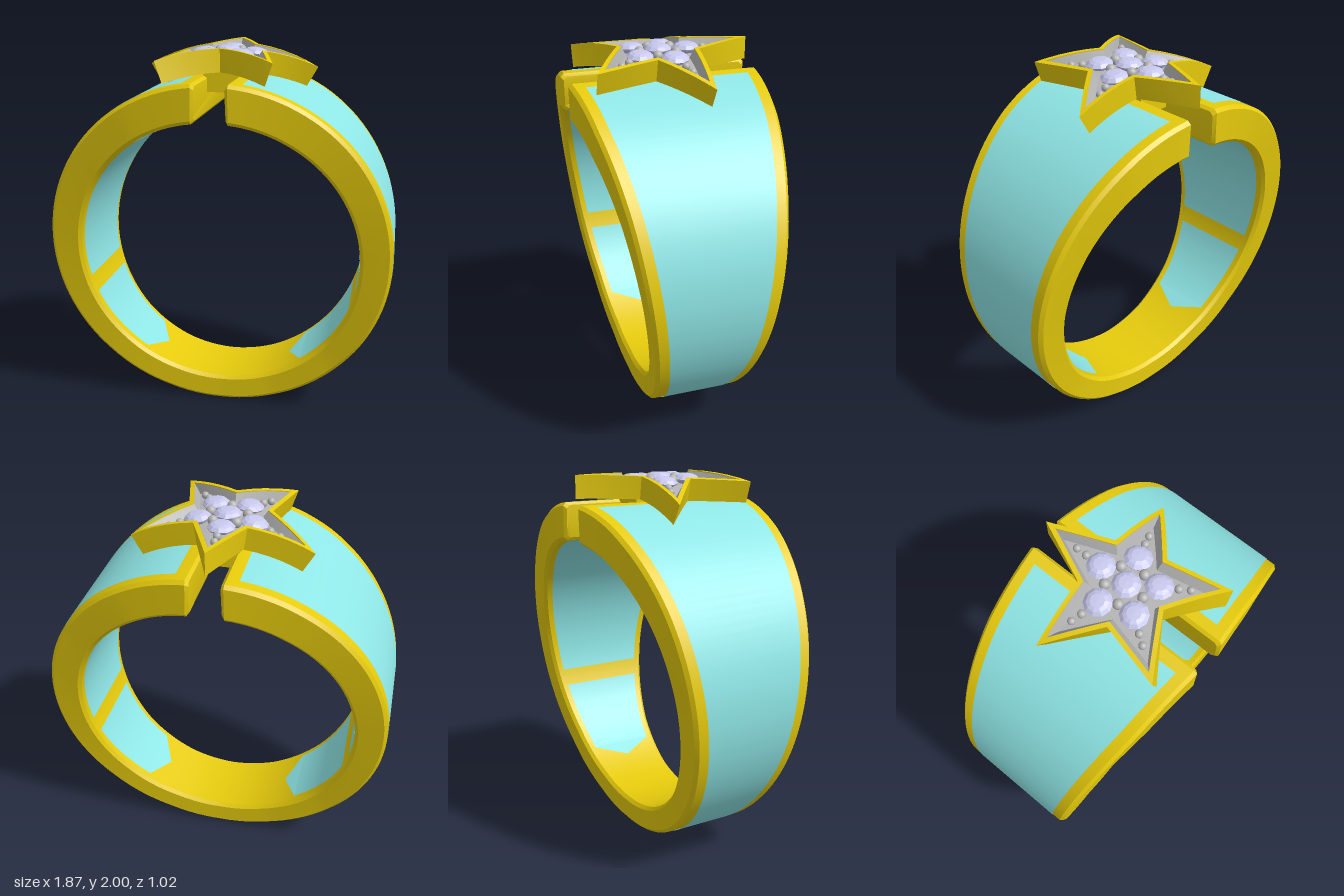
import * as THREE from 'three';
import { toCreasedNormals } from 'three/addons/utils/BufferGeometryUtils.js';

const mat = (color, extra = {}) => new THREE.MeshStandardMaterial({ color, ...extra });
const gold = mat(0xe6cb0c);
const enamel = mat(0x8fe6e6, { side: THREE.DoubleSide });
const silver = mat(0xb4b4b4);
const gemMat = mat(0xc8c8ee, { flatShading: true });

const CY = 0.93, R_OUT = 0.93, GAP = 0.08;
const lerp = THREE.MathUtils.lerp;

// Angle a runs from the top of the ring towards +x
const polar = (r, a, z) => [r * Math.sin(a), CY + r * Math.cos(a), z];
const rIn = (a) => 0.76 - 0.03 * Math.cos(a);

// Half width of the band: broad at the top, narrow at the bottom
const WIDTHS = [[0, 0.52], [0.55, 0.468], [1.05, 0.4], [1.57, 0.335], [2.36, 0.245], [2.8, 0.213], [Math.PI, 0.205]];
function halfWidth(a) {
  const t = a > Math.PI ? 2 * Math.PI - a : a;
  const k = Math.max(1, WIDTHS.findIndex((p) => p[0] >= t));
  const [a0, w0] = WIDTHS[k - 1], [a1, w1] = WIDTHS[k];
  return lerp(w0, w1, (t - a0) / (a1 - a0));
}

// Skin a list of closed rings, with optional flat ends
function loft(rings, caps = false, crease = 0.5) {
  const n = rings[0].length, pos = rings.flat(2), idx = [];
  for (let i = 0; i < rings.length - 1; i++) {
    for (let j = 0; j < n; j++) {
      const a = i * n + j, b = i * n + (j + 1) % n;
      idx.push(a, b, a + n, b, b + n, a + n);
    }
  }
  if (caps) {
    const last = (rings.length - 1) * n;
    for (let j = 1; j < n - 1; j++) {
      idx.push(0, j + 1, j, last, last + j, last + j + 1);
    }
  }
  const g = new THREE.BufferGeometry();
  g.setAttribute('position', new THREE.Float32BufferAttribute(pos, 3));
  g.setIndex(idx);
  return toCreasedNormals(g, crease);
}

// Chamfered cross-section of the band at u = 0..1, ends cut parallel at +-gap
function bandSection(u, gap, inset) {
  const c = 0.018;
  const at = (r, side, dr, dz) => {
    const cut = Math.asin(gap / r);
    const a = cut + (2 * Math.PI - 2 * cut) * u;
    const rad = (r > 0.85 ? R_OUT - inset : rIn(a) + inset) + dr;
    return polar(rad, a, side * (halfWidth(a) - inset - dz));
  };
  return [
    at(R_OUT, -1, 0, c), at(R_OUT, 1, 0, c), at(R_OUT, 1, -c, 0), at(0.74, 1, c, 0),
    at(0.74, 1, 0, c), at(0.74, -1, 0, c), at(0.74, -1, c, 0), at(R_OUT, -1, -c, 0),
  ];
}

function bandGeometry() {
  const N = 110, rings = [bandSection(0, GAP, 0.015)];
  for (let i = 0; i <= N; i++) rings.push(bandSection(i / N, GAP + 0.015, 0));
  rings.push(bandSection(1, GAP, 0.015));
  return loft(rings, true, 0.6);
}

// Thin enamel strip from angle a0 to a1, optionally pointed at its lower end
function panelGeometry(radius, a0, a1, rim, point, mirror) {
  const angles = [], pos = [], idx = [], body = a1 - point;
  for (let i = 0; i <= 50; i++) angles.push(lerp(a0, body, i / 50));
  if (point) angles.push(a1);
  angles.forEach((a, i) => {
    const w = a > body + 1e-6 ? 0.001 : halfWidth(a) - rim;
    for (const s of [-1, 1]) {
      const p = polar(radius(a), a, s * w);
      pos.push(p[0] * mirror, p[1], p[2]);
    }
    if (i) idx.push(2 * i - 2, 2 * i - 1, 2 * i, 2 * i - 1, 2 * i + 1, 2 * i);
  });
  // Keep the front of every strip on its exposed side
  if ((mirror < 0) !== (radius(a0) < 0.85)) idx.reverse();
  const g = new THREE.BufferGeometry();
  g.setAttribute('position', new THREE.Float32BufferAttribute(pos, 3));
  g.setIndex(idx);
  g.computeVertexNormals();
  return g;
}

// Star coordinates (x, height, z) wrapped over the curve of the ring
const bend = (x, h, z) => {
  const a = x / 0.9, r = 0.83 + h;
  return [r * Math.sin(a), 1.05 + r * Math.cos(a), z];
};

const STAR_Z = 0.01;
function starRing(scale, h) {
  const corner = (k) => {
    const r = (k % 2 ? 0.22 : 0.49) * scale, f = (k * Math.PI) / 5;
    return [-r * Math.sin(f), -r * Math.cos(f)];
  };
  const out = [];
  for (let k = 0; k < 10; k++) {
    const p = corner(k), q = corner(k + 1);
    for (let j = 0; j < 5; j++) {
      out.push(bend(lerp(p[0], q[0], j / 5), h, STAR_Z + lerp(p[1], q[1], j / 5)));
    }
  }
  return out;
}
const starLoft = (profile) => loft(profile.map(([s, h]) => starRing(s, h)));

export function createModel() {
  const root = new THREE.Group();
  const add = (name, geo, material, parent = root) => {
    const m = new THREE.Mesh(geo, material);
    m.name = name;
    parent.add(m);
    return m;
  };

  add('band', bandGeometry(), gold);

  // Enamel on the outside and inside of both halves
  for (const [side, m] of [['left', 1], ['right', -1]]) {
    add(side + 'OuterEnamel', panelGeometry(() => R_OUT + 0.003, 0.167, 2.78, 0.07, 0.11, m), enamel);
    const inner = (a) => rIn(a) - 0.003;
    add(side + 'UpperInnerEnamel', panelGeometry(inner, 0.17, 1.84, 0.05, 0, m), enamel);
    add(side + 'LowerInnerEnamel', panelGeometry(inner, 1.97, 2.66, 0.05, 0.12, m), enamel);
  }

  // Bridge across the gap, carrying the star
  const bridge = add('bridge', new THREE.BoxGeometry(0.2, 0.11, 0.36), gold);
  bridge.position.set(0, 1.825, 0);

  // Star setting: gold tray with a recessed silver lining
  const star = new THREE.Group();
  star.name = 'star';
  root.add(star);
  add('starTray', starLoft([[0.01, 0], [0.35, 0], [0.7, 0], [1, 0], [1, 0.12], [0.88, 0.12], [0.88, 0.11]]), gold, star);
  add('starLining', starLoft([[0.88, 0.115], [0.78, 0.065], [0.5, 0.065], [0.25, 0.065], [0.01, 0.065]]), silver, star);

  // Stones and beads stand on the curved floor at polar positions from the star's centre
  const place = (mesh, r, f, h) => {
    const x = r * Math.sin(f);
    mesh.position.set(...bend(x, h, STAR_Z - r * Math.cos(f)));
    mesh.rotation.z = -x / 0.9;
  };
  const gemProfile = [[0, -0.02], [0.068, 0.022], [0.072, 0.03], [0.055, 0.046], [0.036, 0.054], [0, 0.056]]
    .map(([x, y]) => new THREE.Vector2(x, y));
  const gemGeo = new THREE.LatheGeometry(gemProfile, 10);
  const beadGeo = new THREE.SphereGeometry(1, 14, 10);
  const bead = (r, f, size) => {
    const b = add('bead', beadGeo, silver, star);
    place(b, r, f, 0.07 + size * 0.6);
    b.scale.setScalar(size);
  };

  place(add('centreGem', gemGeo, gemMat, star), 0, 0, 0.064);
  for (let k = 0; k < 5; k++) {
    const f = (k * 2 * Math.PI) / 5;
    place(add('gem', gemGeo, gemMat, star), 0.152, f, 0.06);
    bead(0.1, f + Math.PI / 5, 0.027);
    bead(0.243, f, 0.021);
    bead(0.3, f, 0.02);
  }
  return root;
}
